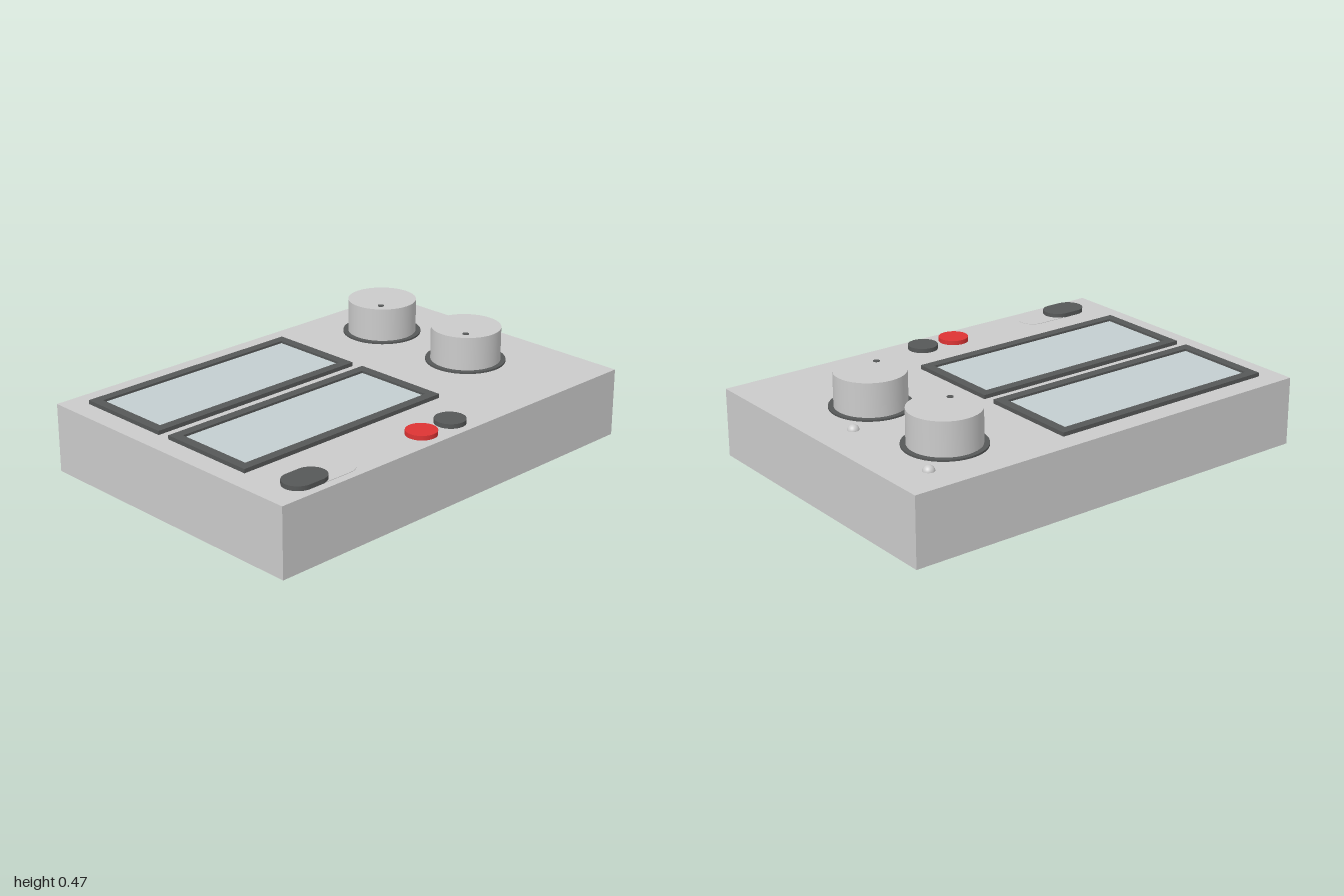
import * as THREE from 'three';

const TOP = 0.31;
const mat = (color) => new THREE.MeshStandardMaterial({ color });

export function createModel() {
  const group = new THREE.Group();
  const grey = mat(0xcccccc);
  const dark = mat(0x565858);
  const red = mat(0xde3434);
  const glass = mat(0xc4ced0);

  const add = (name, geometry, material, x, y, z) => {
    const mesh = new THREE.Mesh(geometry, material);
    mesh.name = name;
    mesh.position.set(x, y, z);
    group.add(mesh);
    return mesh;
  };
  // Disc standing on height y
  const disc = (name, r, h, material, x, y, z) =>
    add(name, new THREE.CylinderGeometry(r, r, h, 40), material, x, y + h / 2, z);

  // Flat shape extruded upwards
  const slab = (name, shape, h, material, x, y, z) => {
    const geometry = new THREE.ExtrudeGeometry(shape, { depth: h, bevelEnabled: false, curveSegments: 20 });
    geometry.rotateX(-Math.PI / 2);
    return add(name, geometry, material, x, y, z);
  };
  const rectangle = (path, w, d) => path
    .moveTo(-w / 2, -d / 2).lineTo(w / 2, -d / 2)
    .lineTo(w / 2, d / 2).lineTo(-w / 2, d / 2).closePath();
  const pill = (length, r) => {
    const shape = new THREE.Shape();
    const c = length / 2 - r;
    shape.absarc(c, 0, r, -Math.PI / 2, Math.PI / 2);
    shape.absarc(-c, 0, r, Math.PI / 2, Math.PI * 1.5);
    return shape.closePath(), shape;
  };

  // Housing
  add('housing', new THREE.BoxGeometry(2, TOP, 1.4), grey, 0, TOP / 2, 0);

  // Two framed displays
  for (const z of [-0.373, 0.15]) {
    const frame = new THREE.Shape();
    rectangle(frame, 1.105, 0.462);
    const opening = new THREE.Path();
    rectangle(opening, 1.02, 0.376);
    frame.holes.push(opening);
    slab('displayFrame', frame, 0.018, dark, -0.351, TOP, z);
    add('displayScreen', new THREE.BoxGeometry(1.02, 0.008, 0.376), glass, -0.351, TOP + 0.004, z);
  }

  // Two knobs with base ring, pointer dot and indicator lamp
  for (const z of [-0.37, 0.153]) {
    disc('knobRing', 0.18, 0.008, dark, 0.62, TOP, z);
    disc('knob', 0.157, 0.152, grey, 0.62, TOP + 0.008, z);
    disc('knobPointer', 0.014, 0.004, dark, 0.54, TOP + 0.159, z + 0.07);
    add('indicatorLamp', new THREE.SphereGeometry(0.026, 24, 16), grey, 0.825, TOP - 0.002, z - 0.174);
  }

  // Sliding power switch
  slab('switchTrack', pill(0.353, 0.067), 0.002, grey, -0.711, TOP, 0.595);
  slab('switchSlider', pill(0.203, 0.068), 0.02, dark, -0.787, TOP, 0.595);

  // Output terminals
  disc('positiveTerminal', 0.068, 0.02, red, -0.135, TOP, 0.595);
  disc('negativeTerminal', 0.068, 0.02, dark, 0.037, TOP, 0.595);

  return group;
}
